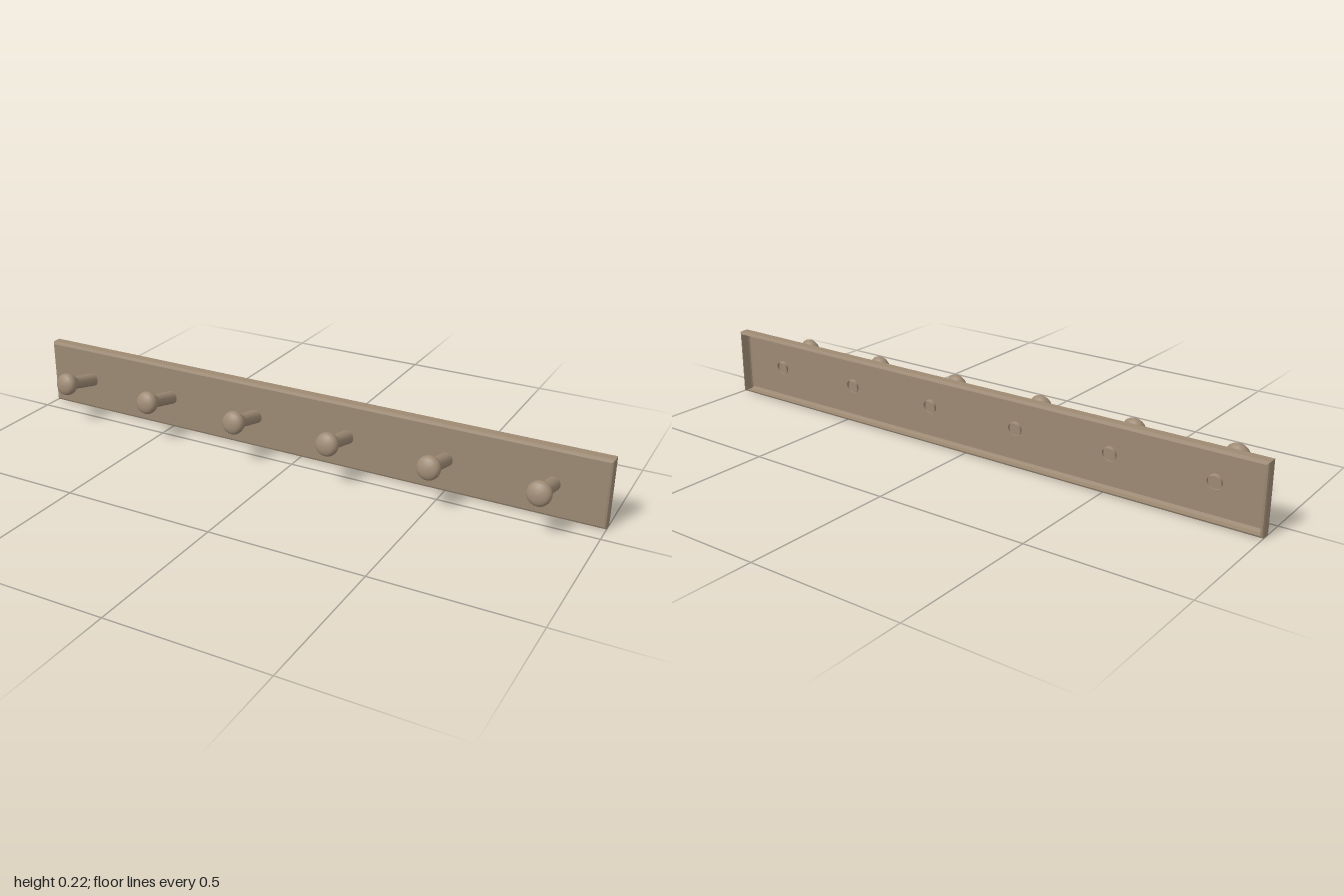
import * as THREE from 'three';

export function createModel() {
  const group = new THREE.Group();
  group.name = 'pegRail';
  const wood = new THREE.MeshStandardMaterial({ color: 0x9d8a74, side: THREE.DoubleSide });
  wood.name = 'taupeWood';

  // Board: a shell with softened edges, open at the back
  const W = 1, H = 0.222;
  const rings = [[0.008, -0.058], [0.0024, -0.0604], [0, -0.066], [0, -0.094], [0.0024, -0.0996], [0.008, -0.102]];
  const corners = ([inset, z]) => [
    [-W + inset, inset, z], [W - inset, inset, z], [W - inset, H - inset, z], [-W + inset, H - inset, z]];
  const pos = [];
  const quad = (a, b, c, d) => pos.push(...a, ...b, ...c, ...a, ...c, ...d);
  quad(...corners(rings[0]));
  for (let i = 0; i < rings.length - 1; i++) {
    const near = corners(rings[i]), far = corners(rings[i + 1]);
    for (let k = 0; k < 4; k++) {
      const n = (k + 1) % 4;
      quad(near[k], far[k], far[n], near[n]);
    }
  }
  const boardGeo = new THREE.BufferGeometry();
  boardGeo.setAttribute('position', new THREE.Float32BufferAttribute(pos, 3));
  boardGeo.computeVertexNormals();
  const board = new THREE.Mesh(boardGeo, wood);
  board.name = 'board';
  group.add(board);

  // Peg: turned shaft flaring to a rounded knob, its open end poking through the board
  const profile = [
    [0.0225, -0.008], [0.022, 0.05], [0.0212, 0.095], [0.0235, 0.109], [0.028, 0.119], [0.0345, 0.129],
    [0.0372, 0.137], [0.0378, 0.144], [0.0345, 0.153], [0.0285, 0.158], [0.02, 0.162], [0.01, 0.1643], [0, 0.165],
  ].map(([r, s]) => new THREE.Vector2(r, s));
  const pegGeo = new THREE.LatheGeometry(profile, 32);
  pegGeo.rotateX(Math.PI / 2 - 0.227);

  // Row of six pegs
  for (let i = 0; i < 6; i++) {
    const peg = new THREE.Mesh(pegGeo, wood);
    peg.name = 'peg' + (i + 1);
    peg.position.set((i - 2.5) / 3, 0.11, -0.058);
    group.add(peg);
  }
  return group;
}
